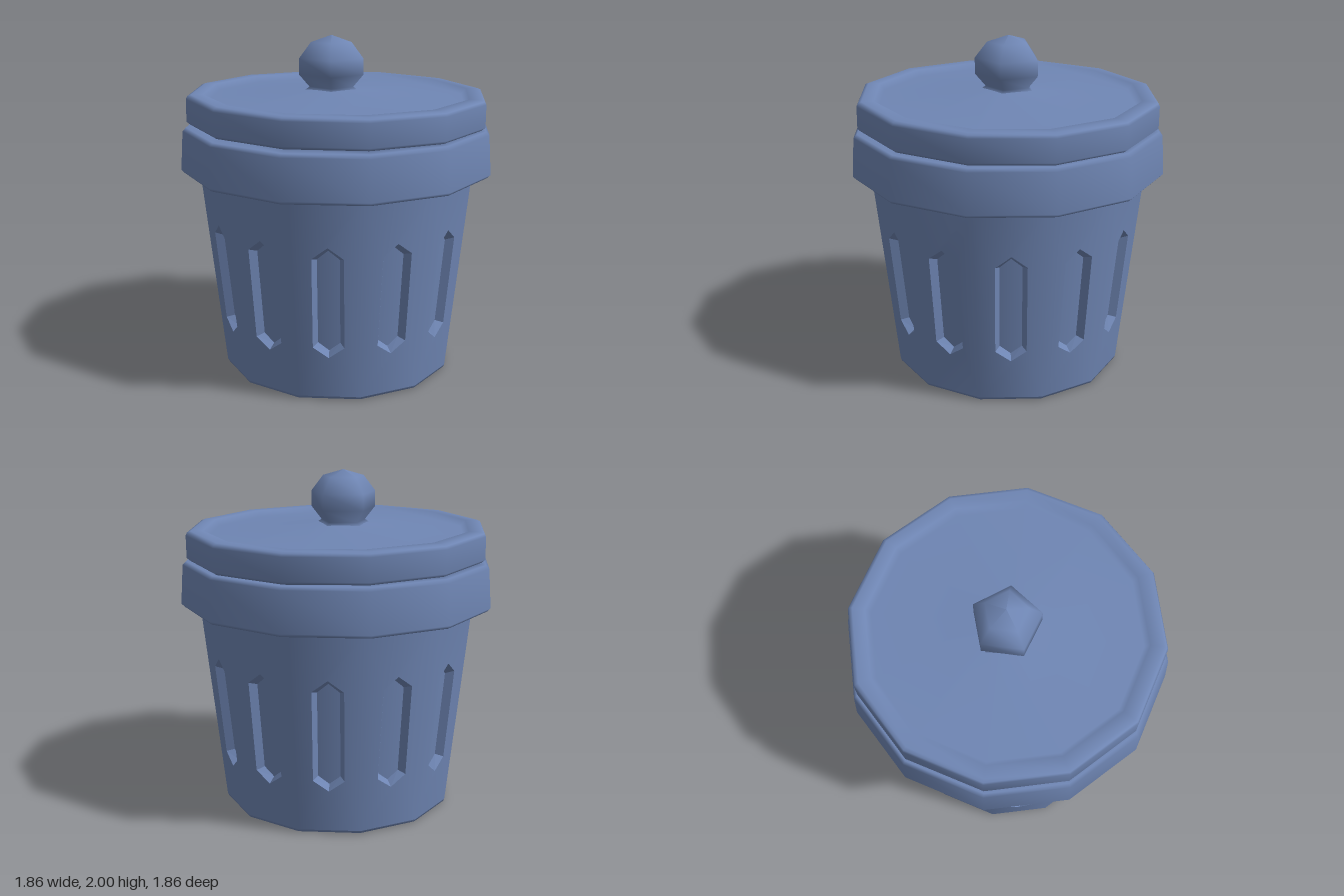
import * as THREE from 'three';

const SIDES = 12;
const HALF = Math.PI / SIDES;
const Y0 = 0.022, Y1 = 1.22;
const radiusAt = (y) => 0.69 + (0.82 - 0.69) * (y - Y0) / (Y1 - Y0);
const v = (p) => new THREE.Vector2(p[0], p[1]);

// Smooth revolved part with a given number of sides
function turned(name, profile, material, sides = SIDES, start = 0) {
  const mesh = new THREE.Mesh(new THREE.LatheGeometry(profile.map(v), sides, start), material);
  mesh.name = name;
  return mesh;
}

// Pointed slot outline, counter-clockwise, narrowed by an inset
function slotOutline(inset) {
  const w = 0.089 - inset, e = inset * 1.15;
  return [[0, 0.27 + e], [w, 0.335 + e / 2], [w, 0.875 - e / 2],
    [0, 0.942 - e], [-w, 0.875 - e / 2], [-w, 0.335 + e / 2]];
}

// Maps a point of a wall panel (across, up, depth) onto the tapered side facing +z
const onPanel = ([s, y], depth = 0) =>
  new THREE.Vector3(s, y, radiusAt(y) * Math.cos(HALF) - depth);

// Wraps a flat shape onto the panel with normals that run smoothly round the can
function panelGeometry(shape, depth) {
  const geo = new THREE.ShapeGeometry(shape);
  const pos = geo.attributes.position, nor = geo.attributes.normal;
  for (let i = 0; i < pos.count; i++) {
    const p = onPanel([pos.getX(i), pos.getY(i)], depth);
    const n = new THREE.Vector3(p.x, 0, p.z).normalize().setY(-0.108).normalize();
    pos.setXYZ(i, p.x, p.y, p.z);
    nor.setXYZ(i, n.x, n.y, n.z);
  }
  return geo;
}

// Sloping walls between the slot's edge and its floor
function slotWallGeometry(outer, inner, depth) {
  const points = [];
  outer.forEach((a, i) => {
    const j = (i + 1) % outer.length;
    const A = onPanel(a), B = onPanel(outer[j]);
    const C = onPanel(inner[j], depth), D = onPanel(inner[i], depth);
    points.push(A, B, C, A, C, D);
  });
  const geo = new THREE.BufferGeometry().setFromPoints(points);
  geo.computeVertexNormals();
  return geo;
}

export function createModel() {
  const group = new THREE.Group();
  const paint = new THREE.MeshStandardMaterial({ color: 0x6f86b4 });
  paint.name = 'blue grey metal';

  // Tapered body: twelve panels, each with a recessed slot
  const depth = 0.045;
  const outer = slotOutline(0), inner = slotOutline(0.026);
  const w0 = radiusAt(Y0) * Math.sin(HALF), w1 = radiusAt(Y1) * Math.sin(HALF);
  const panel = new THREE.Shape([[-w0, Y0], [w0, Y0], [w1, Y1], [-w1, Y1]].map(v));
  panel.holes.push(new THREE.Path(outer.map(v)));
  const parts = {
    bodyPanel: panelGeometry(panel, 0),
    slotWalls: slotWallGeometry(outer, inner, depth),
    slotFloor: panelGeometry(new THREE.Shape(inner.map(v)), depth),
  };
  const body = new THREE.Group();
  body.name = 'body';
  for (let i = 0; i < SIDES; i++) {
    const side = new THREE.Group();
    side.name = 'bodySide';
    side.rotation.y = HALF * (2 * i + 1);
    for (const [name, geo] of Object.entries(parts)) {
      const mesh = new THREE.Mesh(geo, paint);
      mesh.name = name;
      side.add(mesh);
    }
    body.add(side);
  }
  group.add(body);

  // Base with a bevelled lower edge
  group.add(turned('base', [[0, 0], [0.665, 0], [0.683, 0.007], [0.69, Y0]], paint));

  // Thick collar round the mouth, running into the lining
  group.add(turned('rim', [[0.78, 1.215], [0.91, 1.215], [0.93, 1.235], [0.915, 1.465],
    [0.895, 1.485], [0.78, 1.485], [0.73, 1.3], [0.61, 0.1], [0, 0.1]], paint));

  // Lid, slightly tipped, with a raised edge and a shallow dome
  const lid = turned('lid', [[0, 0], [0.868, 0], [0.89, 0.018], [0.89, 0.15], [0.882, 0.167],
    [0.862, 0.175], [0.79, 0.175], [0.76, 0.14], [0.16, 0.194], [0, 0.198]], paint);
  lid.position.y = 1.494;
  lid.rotation.x = -0.01;
  group.add(lid);

  // Five-sided rounded knob
  const knob = turned('knob', [[0.17, 1.68], [0.135, 1.702], [0.197, 1.775], [0.197, 1.87],
    [0.125, 1.962], [0, 2]], paint, 5, -1.67);
  knob.position.set(-0.03, 0, 0.02);
  group.add(knob);

  return group;
}
